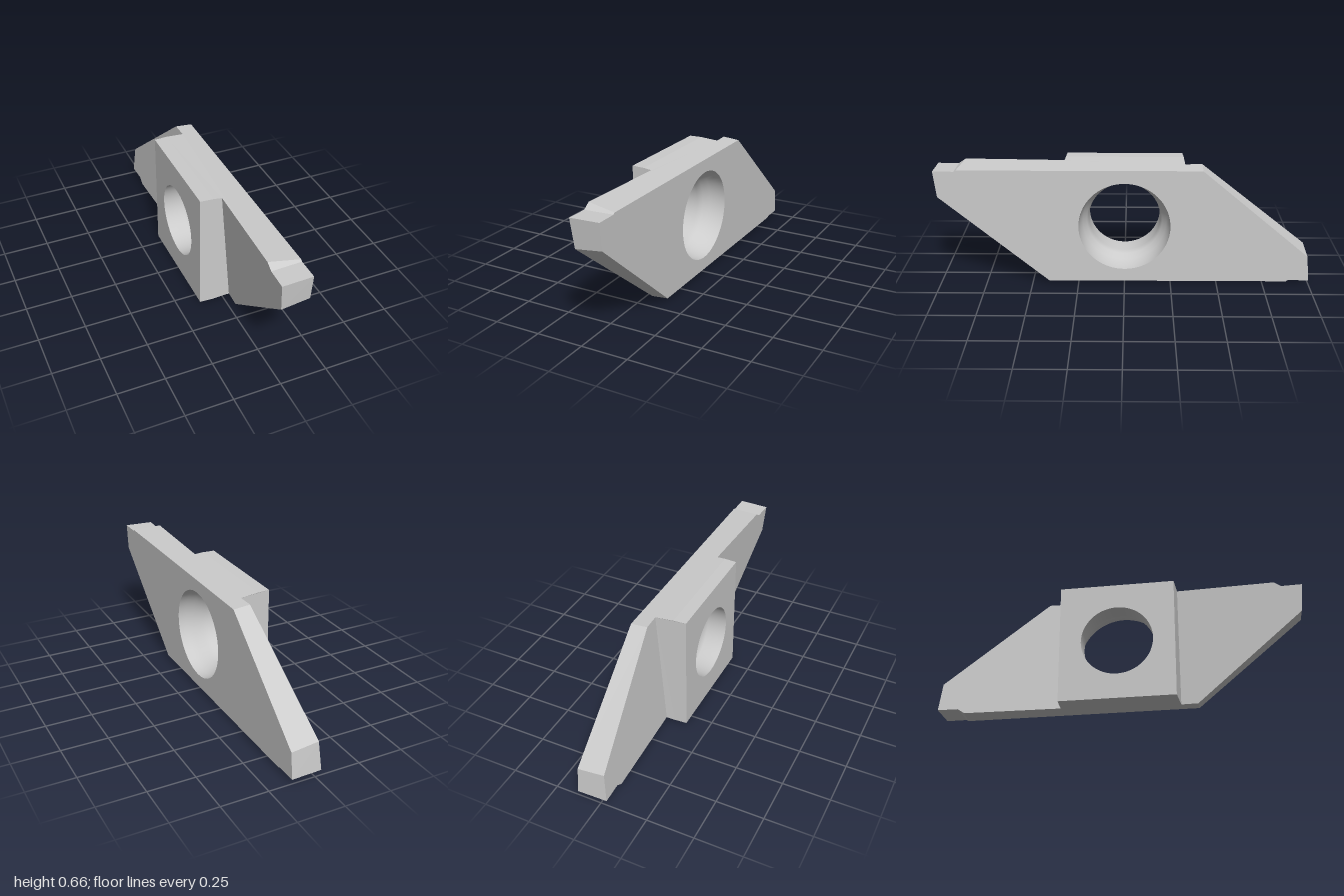
import * as THREE from 'three';

const H = 0.664, OUT = 0.127, BACK = -0.128, RIDGE = -0.06;

// Top surface height across the thickness, and the tilted inner plane of a wing
const topY = x => (x < RIDGE ? H : H - 0.0856 * (x - RIDGE));
const innerX = (y, z) => -0.033 - 0.08 * (y - 0.636) - 0.031 * (z - 1);
// Half turn about the x axis through the middle of the body
const turn = ([x, y, z]) => [x, H - y, -z];

// Flat polygon, optionally with a hole, facing the given outward direction
function face(outward, outline, hole = []) {
  const out = new THREE.Vector3(...outward);
  const abs = outward.map(Math.abs);
  const drop = abs.indexOf(Math.max(...abs));
  const flat = p => new THREE.Vector2(...p.filter((_, i) => i !== drop));
  const pts = [...outline, ...hole].map(p => new THREE.Vector3(...p));
  const tris = THREE.ShapeUtils.triangulateShape(outline.map(flat), hole.length ? [hole.map(flat)] : []);
  const pos = [];
  for (const t of tris) {
    let [a, b, c] = t.map(i => pts[i]);
    const n = b.clone().sub(a).cross(c.clone().sub(a));
    if (n.dot(out) < 0) [b, c] = [c, b];
    for (const v of [a, b, c]) pos.push(v.x, v.y, v.z);
  }
  const g = new THREE.BufferGeometry();
  g.setAttribute('position', new THREE.Float32BufferAttribute(pos, 3));
  g.computeVertexNormals();
  return g;
}

const circle = (x, r, n = 64) => Array.from({ length: n }, (_, i) => {
  const a = (i / n) * Math.PI * 2;
  return [x, H / 2 - r * Math.sin(a), r * Math.cos(a)];
});

export function createModel() {
  const model = new THREE.Group();
  model.name = 'cuttingInsert';
  const material = new THREE.MeshStandardMaterial({ color: 0xcccccc });
  const add = (parent, name, geometry) => {
    const mesh = new THREE.Mesh(geometry, material);
    mesh.name = name;
    parent.add(mesh);
  };

  // Inner points: on the wing's tilted plane
  const inner = (y, z) => [innerX(y, z), y, z];
  const onTop = (x, z) => [x, topY(x), z];
  const rootTop = inner(0.66, 0.32), rootLow = inner(0.008, 0.32);
  const heelIn = inner(0.008, 0.41), heelOut = [OUT, H - topY(OUT), 0.41];
  const tipLowIn = inner(0.482, 0.985), tipLowOut = [OUT, 0.5, 0.985];
  const tipIn = inner(0.636, 1), tipOut = [OUT, 0.641, 1];
  const ledgeIn = inner(0.636, 0.888), ledgeOut = [OUT, 0.641, 0.888];
  const notchIn = inner(0.6615, 0.85), notchOut = onTop(OUT, 0.878);

  // One half of the body; the other is the same turned about the hole axis
  for (let i = 0; i < 2; i++) {
    const half = new THREE.Group();
    half.name = i ? 'rearHalf' : 'frontHalf';
    if (i) {
      half.rotation.x = Math.PI;
      half.position.y = H;
    }
    add(half, 'slopedEdge', face([0, 1, 0], [
      turn(heelOut), notchOut, notchIn, rootTop, onTop(RIDGE, 0.3165),
      onTop(RIDGE, -0.3165), turn(rootLow), turn(heelIn)]));
    add(half, 'blockEdge', face([0, 1, 0], [
      onTop(RIDGE, 0.3165), onTop(BACK, 0.312), onTop(BACK, -0.312), onTop(RIDGE, -0.3165)]));
    add(half, 'blockStep', face([0, 0, 1], [
      [BACK, H, 0.312], [RIDGE, H, 0.3165], rootTop, rootLow, [RIDGE, 0, 0.3165], [BACK, 0, 0.312]]));
    add(half, 'wingInnerFace', face([-1, 0, 0], [
      rootTop, notchIn, ledgeIn, tipIn, tipLowIn, heelIn, rootLow]));
    add(half, 'chipNotch', face([0, 1, 0.5], [notchOut, ledgeOut, ledgeIn, notchIn]));
    add(half, 'cuttingLedge', face([0, 1, 0], [ledgeOut, tipOut, tipIn, ledgeIn]));
    add(half, 'tipFace', face([0, 0, 1], [tipOut, tipIn, tipLowIn, tipLowOut]));
    add(half, 'slantedFlank', face([0, -1, 0.8], [tipLowOut, tipLowIn, heelIn, heelOut]));
    model.add(half);
  }

  // Flat sides with the hole cut through
  const side = [notchOut, ledgeOut, tipOut, tipLowOut, heelOut];
  add(model, 'outerFace', face([1, 0, 0], [...side, ...side.map(turn)], circle(OUT, 0.245)));
  add(model, 'blockFace', face([-1, 0, 0],
    [[BACK, 0, -0.312], [BACK, H, -0.312], [BACK, H, 0.312], [BACK, 0, 0.312]], circle(BACK, 0.195)));

  // Countersunk screw hole
  const profile = [[0.245, OUT], [0.24, 0.085], [0.225, 0.045], [0.205, 0.01], [0.195, -0.02], [0.195, BACK]];
  const bore = new THREE.LatheGeometry(profile.map(p => new THREE.Vector2(...p)), 64);
  bore.rotateZ(-Math.PI / 2).translate(0, H / 2, 0);
  add(model, 'screwHole', bore);
  return model;
}
